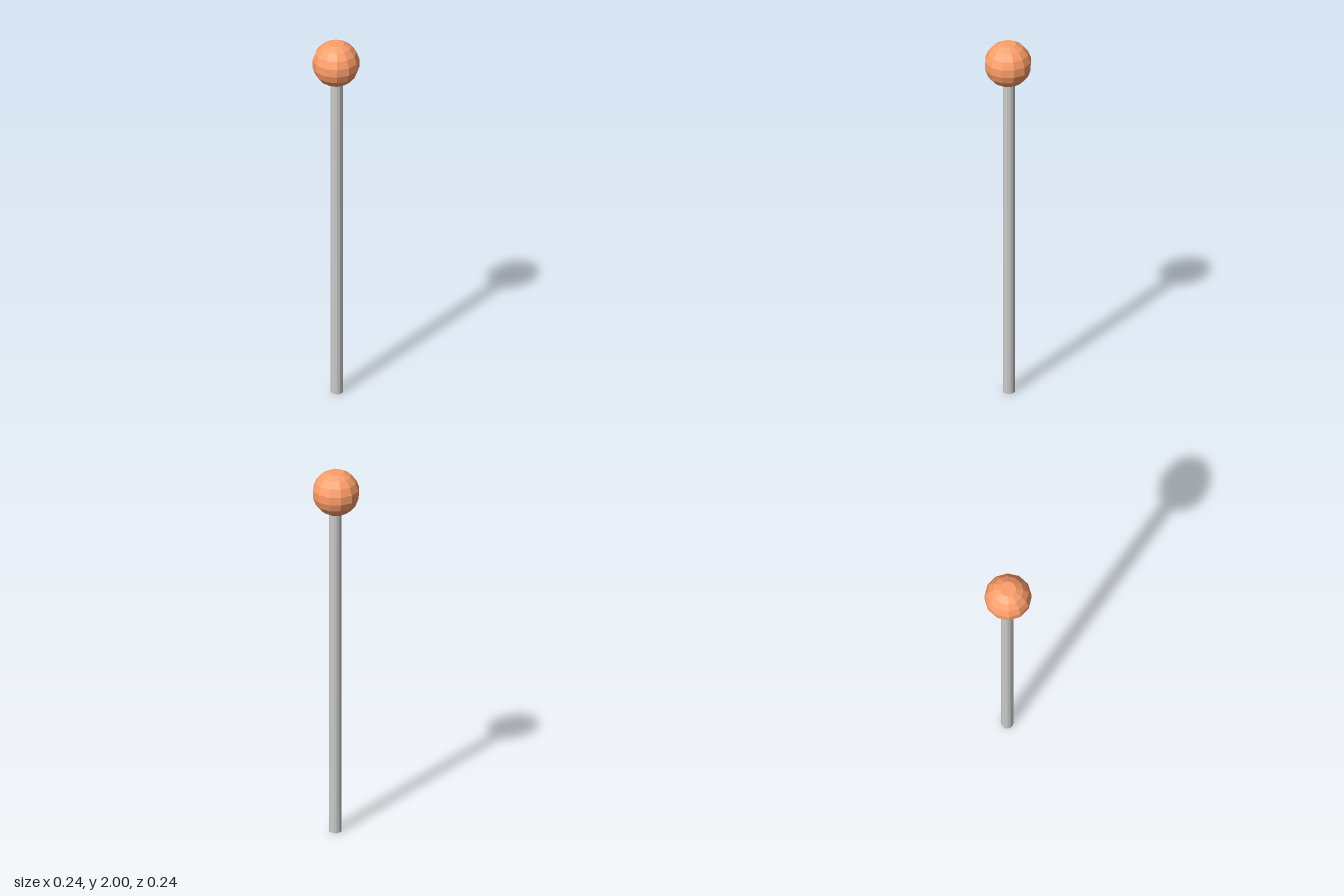
import * as THREE from 'three';

export function createModel() {
  const group = new THREE.Group();
  const grey = new THREE.MeshStandardMaterial({ color: 0xcccccc, flatShading: true });
  const orange = new THREE.MeshStandardMaterial({ color: 0xff9f6b, flatShading: true });

  // Thin upright rod, its top sunk into the ball
  const rodHeight = 1.8;
  const rod = new THREE.Mesh(new THREE.CylinderGeometry(0.032, 0.032, rodHeight, 12), grey);
  rod.name = 'rod';
  rod.position.set(0.002, rodHeight / 2, -0.005);
  group.add(rod);

  // Faceted ball of eight rings with flat top and bottom caps
  const radius = 0.1215;
  const rings = [];
  for (let i = 0; i < 8; i++) {
    const angle = THREE.MathUtils.degToRad(160 - 20 * i);
    rings.push(new THREE.Vector2(radius * Math.sin(angle), radius * Math.cos(angle)));
  }
  const top = rings[7].y;
  const profile = [new THREE.Vector2(0, -top), ...rings, new THREE.Vector2(0, top)];
  const ball = new THREE.Mesh(new THREE.LatheGeometry(profile, 12), orange);
  ball.name = 'ball';
  ball.position.y = 2 - top;
  group.add(ball);

  return group;
}
